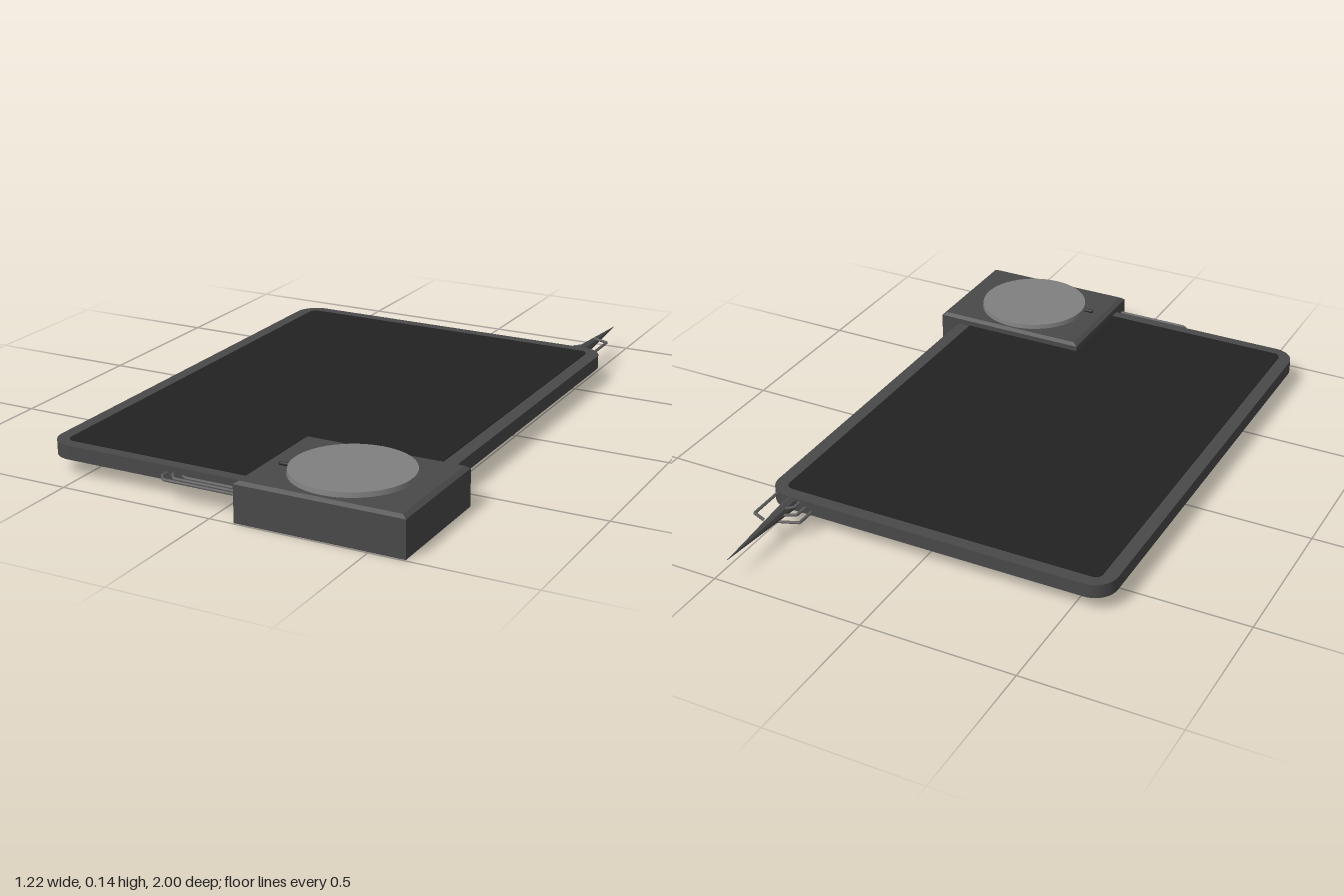
import * as THREE from 'three';

export function createModel() {
  const root = new THREE.Group();
  const mat = (name, color) => new THREE.MeshStandardMaterial({ name, color });
  const frameGrey = mat('frame grey', 0x494949);
  const screenBlack = mat('screen black', 0x222222);
  const discGrey = mat('disc grey', 0x808080);
  const wireGrey = mat('wire grey', 0x606060);
  const plugDark = mat('plug dark', 0x2a2a2a);

  const add = (name, geometry, material) => {
    const m = new THREE.Mesh(geometry, material);
    m.name = name;
    root.add(m);
    return m;
  };

  // Plan outline in x/z, extruded downwards from the given top
  const slab = (shape, bottom, top) =>
    new THREE.ExtrudeGeometry(shape, { depth: top - bottom, bevelEnabled: false, curveSegments: 8 })
      .rotateX(Math.PI / 2).translate(0, top, 0);

  const roundedRect = (x0, z0, x1, z1, r) => {
    const s = new THREE.Shape();
    s.absarc(x1 - r, z0 + r, r, -Math.PI / 2, 0);
    s.absarc(x1 - r, z1 - r, r, 0, Math.PI / 2);
    s.absarc(x0 + r, z1 - r, r, Math.PI / 2, Math.PI);
    s.absarc(x0 + r, z0 + r, r, Math.PI, Math.PI * 1.5);
    s.closePath();
    return s;
  };
  const polygon = pts => new THREE.Shape(pts.map(p => new THREE.Vector2(...p)));

  // Tablet
  add('tabletBody', slab(roundedRect(-0.612, -0.652, 0.545, 0.922, 0.075), 0.053, 0.098), frameGrey);
  add('screen', slab(roundedRect(-0.568, -0.61, 0.5, 0.885, 0.025), 0.097, 0.1), screenBlack);

  // Corner block: cut diagonally under the tablet, full rectangle above it
  const [x0, x1, z0, z1] = [0.077, 0.611, 0.585, 0.995];
  add('cornerBlock', slab(polygon([[x0, z1], [x1, z1], [x1, z0], [0.548, z0], [x0, 0.924]]), 0, 0.098), frameGrey);
  add('blockTop', slab(polygon([[x0, z0], [x1, z0], [x1, z1], [x0, z1]]), 0.098, 0.117), frameGrey);
  const bevel = new THREE.CylinderGeometry(0.945 * Math.SQRT1_2, Math.SQRT1_2, 0.009, 4)
    .rotateY(Math.PI / 4).scale(x1 - x0, 1, z1 - z0).toNonIndexed();
  bevel.computeVertexNormals();
  add('blockBevel', bevel, frameGrey).position.set((x0 + x1) / 2, 0.1215, (z0 + z1) / 2);

  // Charging disc and its small plug
  add('disc', new THREE.CylinderGeometry(0.184, 0.186, 0.015, 48), discGrey).position.set(0.342, 0.1345, 0.787);
  add('discPlug', new THREE.CapsuleGeometry(0.006, 0.035, 4, 8).rotateZ(Math.PI / 2), plugDark)
    .position.set(0.15, 0.131, 0.828);

  // Spike at the back
  const spike = new THREE.ConeGeometry(0.022, 0.35, 8).rotateX(-Math.PI / 2).toNonIndexed();
  spike.computeVertexNormals();
  add('spike', spike, frameGrey).position.set(0.453, 0.077, -0.825);

  // Bent wires lying in a horizontal plane
  const wire = (name, y, pts) => {
    const path = new THREE.CurvePath();
    const v = pts.map(([x, z]) => new THREE.Vector3(x, y, z));
    for (let i = 1; i < v.length; i++) path.add(new THREE.LineCurve3(v[i - 1], v[i]));
    add(name, new THREE.TubeGeometry(path, 40, 0.005, 6), wireGrey);
  };

  // Back wires, three stepped on one side and one on the other
  for (let i = 0; i < 3; i++) {
    const x = 0.383 + i * 0.02, z = -0.715 + i * 0.018;
    wire('backWire', 0.063 + i * 0.012, [[x, -0.64], [x, z], [0.447, z - 0.025]]);
  }
  wire('backLoop', 0.09, [[0.51, -0.64], [0.51, -0.765], [0.46, -0.785]]);

  // Front wires running into the block
  for (let i = 0; i < 3; i++) {
    const x = -0.19 + i * 0.022, z = 0.97 - i * 0.02;
    wire('frontWire', 0.075, [[x, 0.915], [x, z - 0.025], [x + 0.02, z], [0.1, z]]);
  }

  return root;
}
